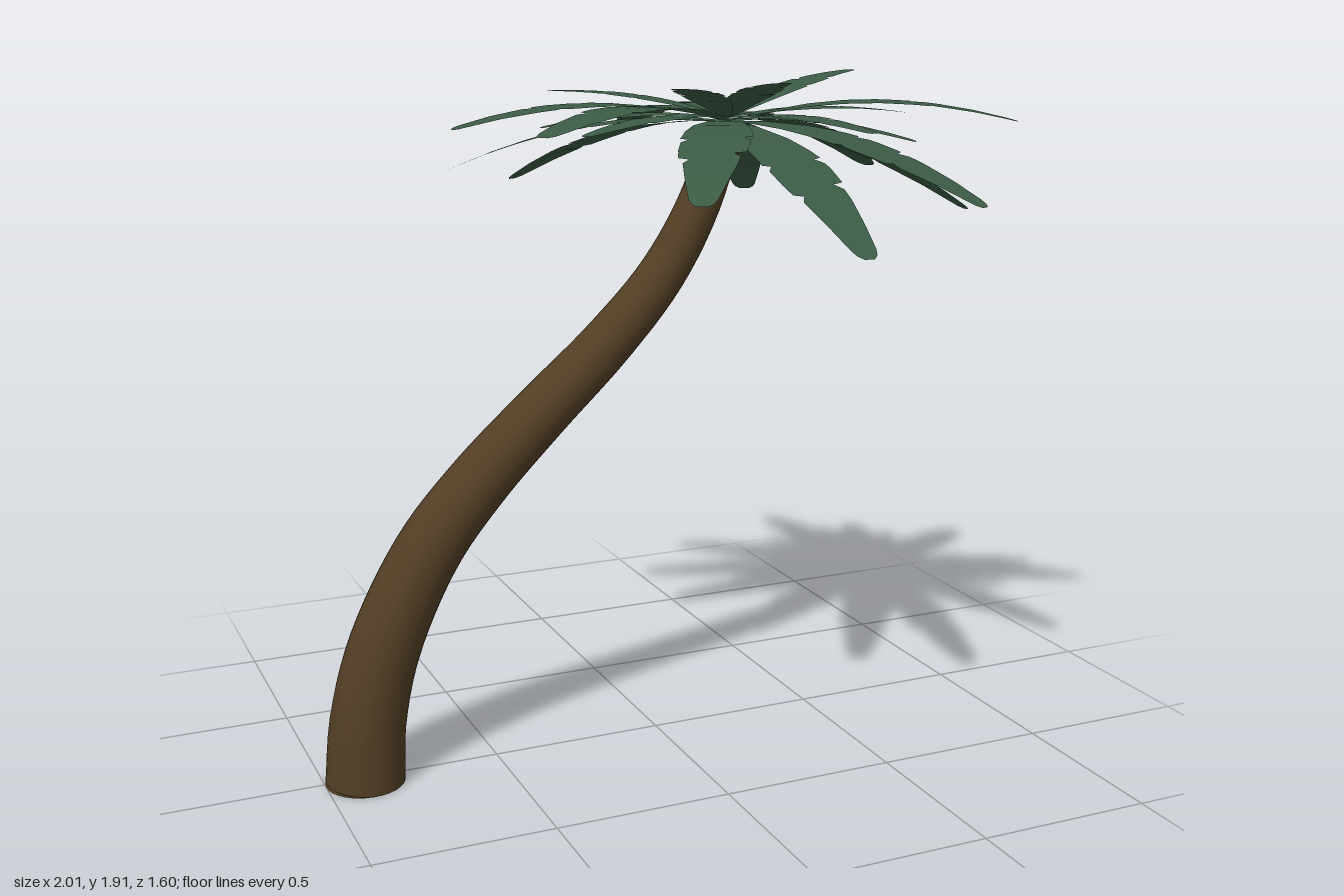
import * as THREE from 'three';

const bark = new THREE.MeshStandardMaterial({ color: 0x523e24, side: THREE.DoubleSide });
bark.name = 'bark brown';
const leaf = new THREE.MeshStandardMaterial({ color: 0x3b5b45, side: THREE.DoubleSide });
leaf.name = 'palm green';

// Frond outline along its length: [position, half width on one side, half width on the other]
const OUTLINE = [
  [0, 0.015, 0.015], [0.12, 0.045, 0.045], [0.28, 0.075, 0.075], [0.4, 0.09, 0.088],
  [0.46, 0.095, 0.09], [0.47, 0.072, 0.09], [0.5, 0.09, 0.093], [0.51, 0.091, 0.07],
  [0.54, 0.092, 0.088], [0.63, 0.086, 0.088], [0.64, 0.056, 0.086], [0.67, 0.074, 0.084],
  [0.69, 0.073, 0.082], [0.7, 0.072, 0.054], [0.73, 0.07, 0.068], [0.85, 0.053, 0.053],
  [0.96, 0.036, 0.036], [0.985, 0.028, 0.028], [1, 0.014, 0.014],
];

// Flat frond that bends along +x in an arc, ending at the given rise
function frondGeometry(length, width, rise, bend) {
  const pos = [], index = [];
  const slope = (rise + bend * length * length) / length;
  OUTLINE.forEach(([t, a, b], i) => {
    const s = t * length;
    const y = slope * s - bend * s * s;
    pos.push(s, y, -a * width, s, y, b * width);
    if (i) {
      const k = 2 * i;
      index.push(k - 2, k - 1, k, k - 1, k + 1, k);
    }
  });
  const g = new THREE.BufferGeometry();
  g.setAttribute('position', new THREE.Float32BufferAttribute(pos, 3));
  g.setIndex(index);
  g.computeVertexNormals();
  return g;
}

// Ring of twelve fronds, one for each tip height
function frondRing(name, tips, startDeg, length, width, bend, y) {
  const ring = new THREE.Group();
  ring.name = name;
  tips.forEach((tip, i) => {
    const m = new THREE.Mesh(frondGeometry(length, width, tip - y, bend), leaf);
    m.name = 'frond';
    m.rotation.y = THREE.MathUtils.degToRad(startDeg + 30 * i);
    ring.add(m);
  });
  ring.position.set(0.215, y, 0.01);
  return ring;
}

function createTrunk() {
  const group = new THREE.Group();
  group.name = 'trunk';
  const curve = new THREE.CatmullRomCurve3([
    [-0.89, 0], [-0.875, 0.18], [-0.82, 0.39], [-0.69, 0.645], [-0.545, 0.82], [-0.364, 0.995],
    [-0.155, 1.185], [0.005, 1.36], [0.115, 1.54], [0.205, 1.77],
  ].map(([x, y]) => new THREE.Vector3(x, y, 0.02)));
  const rings = 48, sides = 32;
  const radius = (u) => THREE.MathUtils.lerp(0.11, 0.055, u);

  // Tapered tube
  const g = new THREE.TubeGeometry(curve, rings, 1, sides);
  const p = g.attributes.position, v = new THREE.Vector3();
  for (let i = 0; i < p.count; i++) {
    const u = Math.floor(i / (sides + 1)) / rings;
    const c = curve.getPointAt(u);
    v.fromBufferAttribute(p, i).sub(c).multiplyScalar(radius(u)).add(c);
    p.setXYZ(i, v.x, Math.max(0, v.y), v.z);
  }
  const stem = new THREE.Mesh(g, bark);
  stem.name = 'stem';
  group.add(stem);

  // End caps
  const cap = (name, u, dir) => {
    const m = new THREE.Mesh(new THREE.CircleGeometry(radius(u), sides), bark);
    m.name = name;
    m.position.copy(curve.getPointAt(u));
    m.quaternion.setFromUnitVectors(new THREE.Vector3(0, 0, 1), dir);
    group.add(m);
  };
  cap('baseCap', 0, new THREE.Vector3(0, -1, 0));
  cap('topCap', 1, curve.getTangentAt(1));
  return group;
}

export function createModel() {
  const model = new THREE.Group();
  model.name = 'palmTree';
  model.add(createTrunk());
  // Long drooping fronds
  model.add(frondRing('outerFronds',
    [1.5, 1.6, 1.51, 1.71, 1.575, 1.64, 1.785, 1.79, 1.64, 1.505, 1.6, 1.79], 0, 0.8, 1, 0.34, 1.785));
  // Short upper fronds, turned between the long ones
  model.add(frondRing('innerFronds',
    [1.91, 1.75, 1.8, 1.79, 1.86, 1.775, 1.77, 1.9, 1.915, 1.78, 1.74, 1.8], 20, 0.53, 0.68, 0.3, 1.795));
  return model;
}
